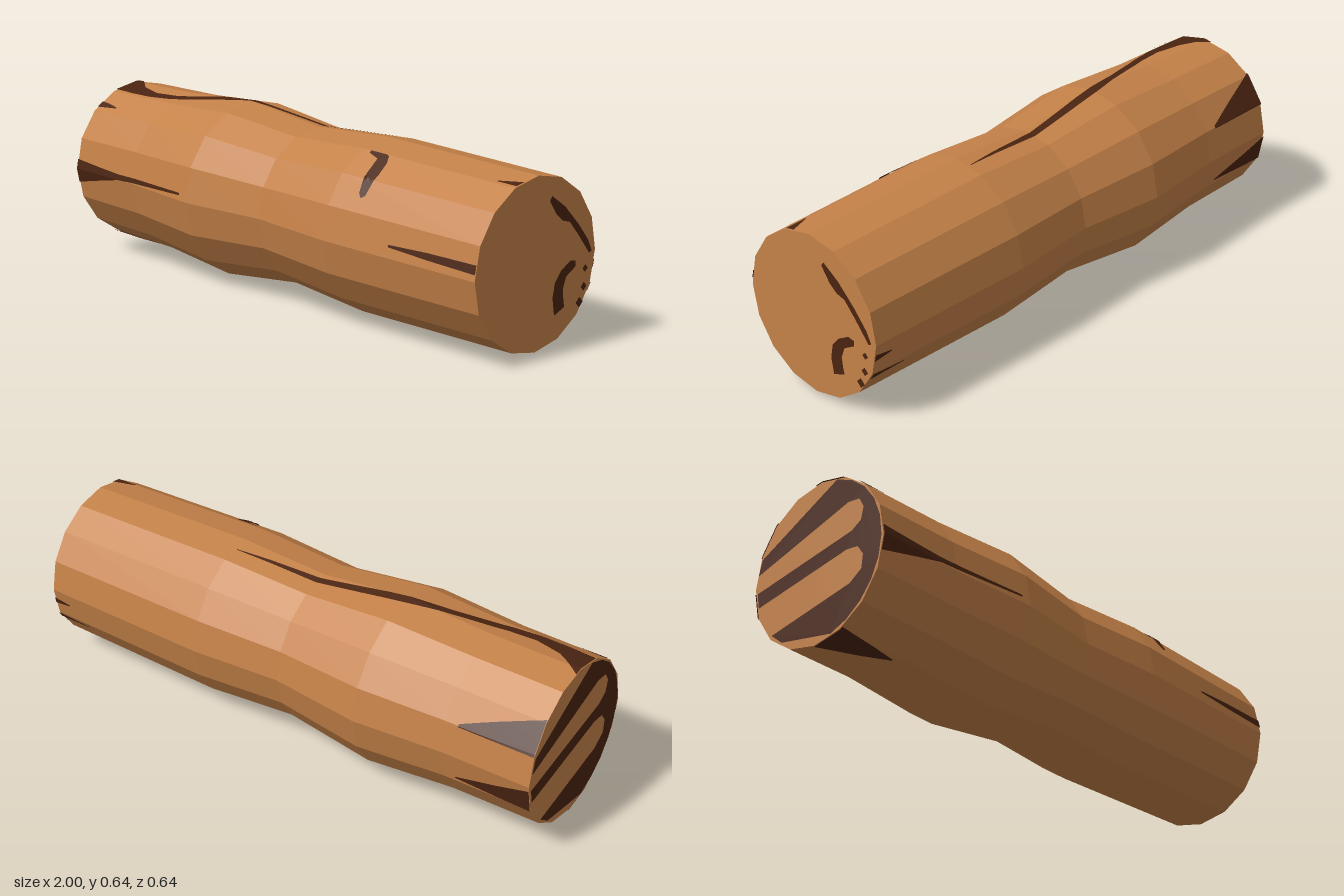
import * as THREE from 'three';

const SIDES = 16;
// Trunk stations: x, centre height, radius
const STATIONS = [
  [-1, 0.333, 0.292], [-0.67, 0.33, 0.296], [-0.34, 0.322, 0.32],
  [0, 0.32, 0.281], [0.34, 0.314, 0.304], [1, 0.306, 0.29],
];

const material = (name, color, extra = {}) => {
  const m = new THREE.MeshStandardMaterial({ color, ...extra });
  m.name = name;
  return m;
};

// Piecewise linear lookup in rows of [x, a, b]
function lookup(rows, x) {
  let i = 0;
  while (i < rows.length - 2 && x > rows[i + 1][0]) i++;
  const p = rows[i], q = rows[i + 1];
  const t = (x - p[0]) / (q[0] - p[0]);
  return [p[1] + (q[1] - p[1]) * t, p[2] + (q[2] - p[2]) * t];
}

// Point on the faceted bark; 0 degrees is the front, 90 the top
function barkPoint(x, degrees, lift) {
  const [cy, r] = lookup(STATIONS, x);
  const a = THREE.MathUtils.degToRad(degrees);
  const step = (2 * Math.PI) / SIDES;
  const local = THREE.MathUtils.euclideanModulo(a, step) - step / 2;
  const d = (r * Math.cos(step / 2)) / Math.cos(local) + lift;
  return [x, cy + d * Math.sin(a), d * Math.cos(a)];
}

// Surface through rows of points, each row the same length
function loft(rows) {
  const n = rows[0].length, index = [];
  for (let i = 0; i < rows.length - 1; i++) {
    for (let j = 0; j < n - 1; j++) {
      const a = i * n + j, b = a + n;
      index.push(a, a + 1, b, a + 1, b + 1, b);
    }
  }
  const g = new THREE.BufferGeometry();
  g.setAttribute('position', new THREE.Float32BufferAttribute(rows.flat(2), 3));
  g.setIndex(index);
  const flat = g.toNonIndexed();
  flat.computeVertexNormals();
  return flat;
}

// Streak following the bark; rows of [x, low angle, high angle]
function streakGeometry(rows) {
  const xs = [];
  for (let i = 0; i < rows.length - 1; i++) {
    for (let k = 0; k < 4; k++) xs.push(THREE.MathUtils.lerp(rows[i][0], rows[i + 1][0], k / 4));
  }
  xs.push(rows[rows.length - 1][0]);
  return loft(xs.map((x) => {
    const [lo, hi] = lookup(rows, x);
    return Array.from({ length: 13 }, (_, j) => barkPoint(x, lo + ((hi - lo) * j) / 12, 0.004));
  }));
}

// Flat mark on an end; u runs to the right as that end is faced
function endMark(points, side, cy = 0) {
  const shape = new THREE.Shape(points.map(([u, v]) => new THREE.Vector2(u, v + cy)));
  return new THREE.ShapeGeometry(shape).rotateY((side * Math.PI) / 2).translate(side * 1.002, 0, 0);
}

export function createModel() {
  const group = new THREE.Group();
  group.name = 'log';
  const wood = material('wood', 0xc48148, { flatShading: true, side: THREE.DoubleSide });
  const dark = material('dark grain', 0x4a2411, { flatShading: true, side: THREE.DoubleSide });
  const add = (name, geometry, mat) => {
    const mesh = new THREE.Mesh(geometry, mat);
    mesh.name = name;
    group.add(mesh);
  };

  // Trunk
  add('trunk', loft(STATIONS.map(([x]) =>
    Array.from({ length: SIDES + 1 }, (_, j) => barkPoint(x, (j * 360) / SIDES, 0)))), wood);

  // Cut ends
  for (const side of [-1, 1]) {
    const [, cy, r] = STATIONS[side < 0 ? 0 : STATIONS.length - 1];
    const end = new THREE.CircleGeometry(r, SIDES).rotateY((side * Math.PI) / 2).translate(side, cy, 0);
    add(side < 0 ? 'rightEnd' : 'leftEnd', end, wood);
  }

  // Grain streaks along the bark
  const streaks = {
    frontStreak: [[-1, -10.5, 7], [-0.85, -4, 5], [-0.75, 0, 4], [-0.38, 3.5, 5]],
    frontLeftStreak: [[0.63, 7, 8.5], [0.8, 5.5, 10], [1, 4.5, 10.5]],
    knot: [[0.38, 65, 67], [0.43, 62, 67], [0.437, 50, 67], [0.45, 35, 67],
      [0.465, 32, 66], [0.48, 34, 60], [0.487, 45, 50]],
    upperFrontStreak: [[-1, 49, 55], [-0.95, 50, 54], [-0.9, 51, 52]],
    topStreak: [[-1, 70, 96], [-0.9, 69, 82], [-0.8, 69, 77], [-0.7, 72, 79],
      [-0.5, 83, 89], [-0.35, 89, 95], [0, 95, 100], [0.2, 98, 100.5], [0.33, 101, 101.5]],
    upperBackStreak: [[-1, 133, 158], [-0.85, 145, 158], [-0.72, 156, 158]],
    backStreak: [[-1, 183, 202], [-0.88, 190, 201], [-0.72, 198, 199]],
    bottomStreak: [[-1, -90, -65], [-0.85, -80, -68], [-0.75, -72, -71]],
    topLeftStreak: [[0.92, 69, 70], [1, 69, 76]],
    backLeftStreak: [[0.86, 205, 206], [1, 202, 208]],
    upperBackLeftStreak: [[0.93, 189, 190], [1, 187, 192]],
  };
  for (const [name, rows] of Object.entries(streaks)) add(name, streakGeometry(rows), dark);

  // Marks on the left end
  add('leftEndStreak', endMark([[0.055, 0.505], [0.09, 0.455], [0.12, 0.43], [0.155, 0.42],
    [0.2, 0.37], [0.258, 0.298], [0.27, 0.305], [0.25, 0.345], [0.2, 0.405], [0.13, 0.475], [0.065, 0.52]], 1), dark);
  add('leftEndCurl', endMark([[0.19, 0.285], [0.165, 0.29], [0.12, 0.265], [0.09, 0.23], [0.08, 0.18],
    [0.09, 0.12], [0.14, 0.14], [0.135, 0.16], [0.13, 0.2], [0.145, 0.24], [0.19, 0.265]], 1), dark);
  for (const [u, v, s] of [[0.24, 0.25, 0.013], [0.235, 0.19, 0.015], [0.215, 0.14, 0.018]]) {
    add('leftEndSpot', endMark([[u - s, v], [u, v - s], [u + s, v], [u, v + s]], 1), dark);
  }

  // Comb of grain bands on the right end
  const rim = Array.from({ length: 11 }, (_, i) => {
    const a = THREE.MathUtils.degToRad(-75 + 15 * i);
    return [0.284 * Math.cos(a), 0.284 * Math.sin(a)];
  });
  add('rightEndGrain', endMark([...rim,
    [-0.265, 0.1], [-0.28, 0.045], [0.13, 0.17], [0.18, 0.165], [0.2, 0.13], [0.19, 0.085], [0.15, 0.06],
    [-0.28, -0.02], [-0.27, -0.075], [0.13, 0], [0.18, -0.005], [0.205, -0.04], [0.2, -0.09], [0.15, -0.125],
    [-0.2, -0.195], [-0.15, -0.235]], -1, 0.333), dark);

  return group;
}
